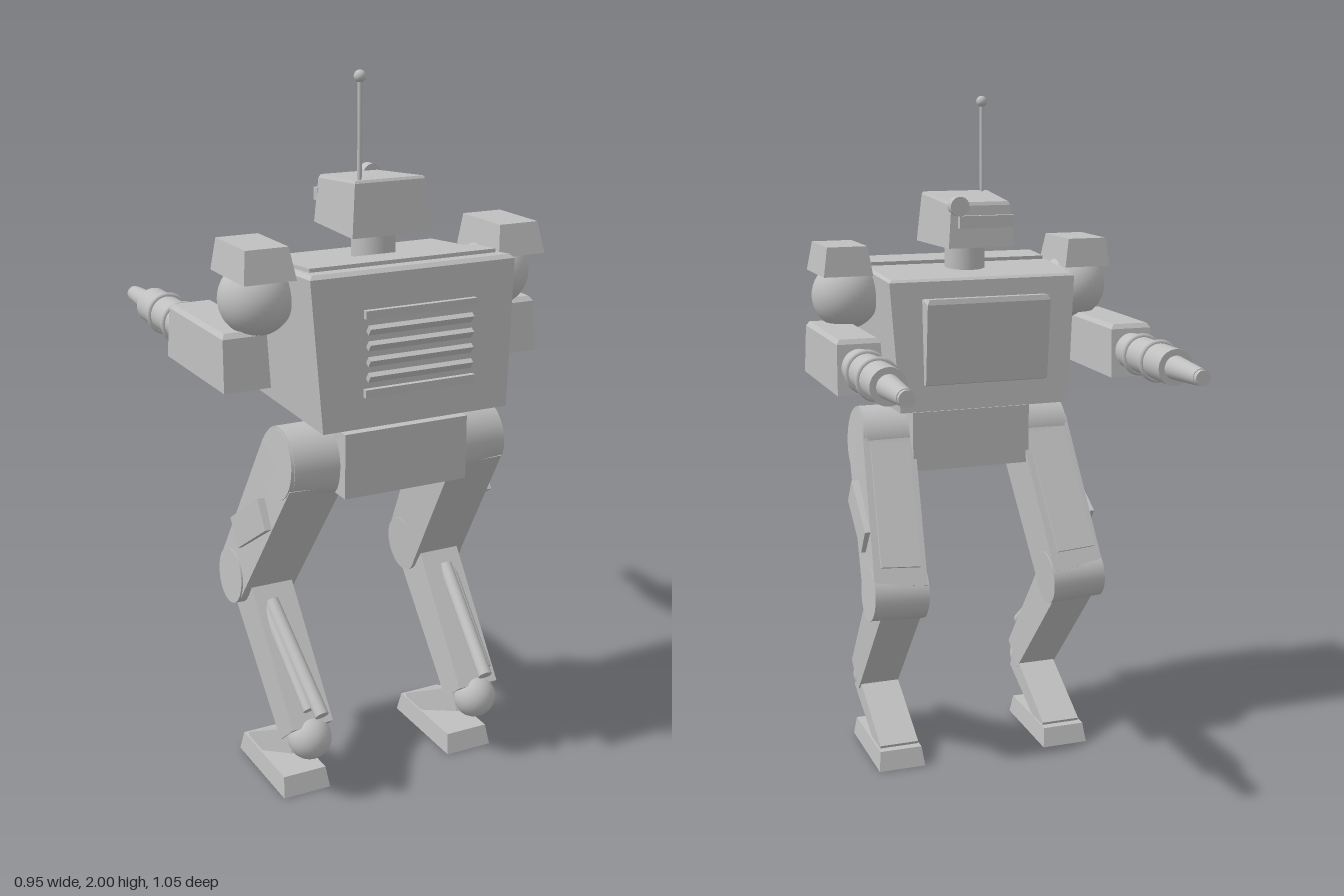
import * as THREE from 'three';
import { ConvexGeometry } from 'three/addons/geometries/ConvexGeometry.js';

export function createModel() {
  const model = new THREE.Group();
  model.name = 'walkerRobot';
  const grey = new THREE.MeshStandardMaterial({ color: 0xbfbfbf });
  grey.name = 'plain grey';

  const add = (name, geometry, x = 0, y = 0, z = 0) => {
    const mesh = new THREE.Mesh(geometry, grey);
    mesh.name = name;
    mesh.position.set(x, y, z);
    model.add(mesh);
    return mesh;
  };
  // Faceted solid from [halfWidth, y, z] corners mirrored about x = cx
  const solid = (name, cx, corners) => add(name, new ConvexGeometry(
    corners.flatMap(([w, y, z]) => [new THREE.Vector3(-w, y, z), new THREE.Vector3(w, y, z)])), cx);
  const box = (name, w, h, d, x, y, z) => add(name, new THREE.BoxGeometry(w, h, d), x, y, z);
  const ball = (name, r, x, y, z) => add(name, new THREE.SphereGeometry(r, 32, 20), x, y, z);
  // Cylinder lying along x
  const axle = (name, r, length, x, y, z) => {
    const mesh = add(name, new THREE.CylinderGeometry(r, r, length, 32), x, y, z);
    mesh.rotation.z = Math.PI / 2;
    return mesh;
  };
  // Round part pointing along -z, from z0 (radius r0) to z1 (radius r1)
  const barrel = (name, r0, r1, x, y, z0, z1) => {
    const mesh = add(name, new THREE.CylinderGeometry(r1, r0, z0 - z1, 32), x, y, (z0 + z1) / 2);
    mesh.rotation.x = -Math.PI / 2;
  };
  // Tapered bar between two points; depth is measured across the bar in the y-z plane
  const limb = (name, a, b, width, depthA, depthB, offset = 0) => {
    const from = new THREE.Vector3(...a), to = new THREE.Vector3(...b);
    const up = to.clone().sub(from), length = up.length();
    up.normalize();
    const side = new THREE.Vector3(1, 0, 0).addScaledVector(up, -up.x).normalize();
    const across = side.clone().cross(up);
    const geometry = new THREE.BoxGeometry(width, length, 1);
    const p = geometry.attributes.position;
    for (let i = 0; i < p.count; i++) p.setZ(i, p.getZ(i) * (p.getY(i) < 0 ? depthA : depthB) + offset);
    geometry.computeVertexNormals();
    const mesh = add(name, geometry);
    mesh.quaternion.setFromRotationMatrix(new THREE.Matrix4().makeBasis(side, up, across));
    mesh.position.copy(from).add(to).multiplyScalar(0.5);
  };
  const rod = (name, r, a, b) => {
    const from = new THREE.Vector3(...a), to = new THREE.Vector3(...b);
    const up = to.clone().sub(from);
    const mesh = add(name, new THREE.CylinderGeometry(r, r, up.length(), 20));
    mesh.quaternion.setFromUnitVectors(new THREE.Vector3(0, 1, 0), up.normalize());
    mesh.position.copy(from).add(to).multiplyScalar(0.5);
  };

  // Torso, hips and torso panels
  solid('torso', 0, [
    [0.29, 1.52, 0.465], [0.3, 1.51, 0.476], [0.275, 1.11, 0.497],
    [0.26, 1.11, 0.055], [0.283, 1.485, 0.073], [0.275, 1.492, 0.082],
  ]);
  const hatch = box('topHatch', 0.55, 0.02, 0.11, 0, 1.513, 0.365);
  hatch.rotation.x = -0.07;
  solid('chestPlate', 0, [
    [0.187, 1.435, 0.08], [0.18, 1.44, 0.02], [0.187, 1.425, 0.016],
    [0.187, 1.19, 0.04], [0.187, 1.18, 0.075],
  ]);
  box('pelvis', 0.37, 0.18, 0.26, 0, 0.99, 0.315);

  // Vent slats
  for (let i = 0; i < 6; i++) {
    const slat = box('ventSlat', i === 0 || i === 5 ? 0.325 : 0.305, 0.022, 0.015, 0, 1.415 - i * 0.0415, 0.509);
    slat.rotation.x = i === 0 || i === 5 ? 0 : 0.6;
  }

  // Head with neck, antenna, visor and lens
  add('neck', new THREE.CylinderGeometry(0.06, 0.06, 0.1, 32), 0, 1.54, 0.245);
  solid('head', 0, [
    [0.117, 1.575, 0.35], [0.1, 1.722, 0.332], [0.104, 1.715, 0.337],
    [0.1, 1.575, 0.088], [0.085, 1.705, 0.1], [0.09, 1.695, 0.095],
  ]);
  add('antenna', new THREE.CylinderGeometry(0.006, 0.006, 0.28, 12), -0.077, 1.85, 0.31);
  ball('antennaTip', 0.016, -0.077, 1.984, 0.31);
  box('visor', 0.165, 0.035, 0.025, -0.012, 1.65, 0.088);
  barrel('lens', 0.028, 0.028, 0.07, 1.695, 0.105, 0.073);

  for (const s of [-1, 1]) {
    // Shoulder
    ball('shoulder', 0.1, s * 0.36, 1.43, 0.275);
    solid('shoulderPad', s * 0.373, [
      [0.073, 1.495, 0.4], [0.073, 1.495, 0.182], [0.06, 1.58, 0.38], [0.06, 1.58, 0.19],
    ]);
    // Forearm and gun
    const gx = s * 0.41;
    solid('forearm', gx, [
      [0.066, 1.2, 0.33], [0.066, 1.2, -0.075], [0.062, 1.34, 0.317],
      [0.062, 1.34, -0.06], [0.053, 1.353, 0.305], [0.053, 1.353, -0.05],
    ]);
    barrel('gunSleeve', 0.052, 0.052, gx, 1.275, -0.05, -0.358);
    for (const z of [-0.135, -0.248]) add('gunRing', new THREE.TorusGeometry(0.054, 0.008, 10, 32), gx, 1.275, z);
    barrel('gunBarrel', 0.034, 0.024, gx, 1.275, -0.355, -0.51);
    barrel('gunMuzzle', 0.022, 0.022, gx, 1.275, -0.505, -0.525);

    // Upper leg
    const hip = [s * 0.248, 0.975, 0.317], knee = [s * 0.28, 0.565, 0.07];
    axle('hipJoint', 0.1, 0.135, s * 0.25, 0.983, 0.317);
    axle('thighTop', 0.098, 0.16, ...hip).rotation.z += s * 0.07;
    limb('thigh', hip, knee, 0.16, 0.195, 0.16);
    limb('thighPlate', [s * 0.25, 0.94, 0.295], [s * 0.277, 0.61, 0.098], 0.12, 0.01, 0.01, 0.095);
    limb('thighPod', [s * 0.318, 0.83, 0.285], [s * 0.325, 0.715, 0.11], 0.08, 0.09, 0.09);
    axle('kneeJoint', 0.08, 0.165, ...knee).rotation.z += s * 0.05;

    // Lower leg and piston
    limb('shin', [s * 0.275, 0.565, 0.07], [s * 0.268, 0.2, 0.375], 0.125, 0.145, 0.105);
    rod('pistonSleeve', 0.02, [s * 0.285, 0.52, 0.185], [s * 0.262, 0.285, 0.46]);
    rod('pistonRod', 0.016, [s * 0.305, 0.54, 0.15], [s * 0.285, 0.29, 0.425]);

    // Ankle and foot
    ball('ankle', 0.062, s * 0.268, 0.188, 0.393);
    limb('footArm', [s * 0.266, 0.185, 0.385], [s * 0.266, 0.045, 0.11], 0.12, 0.07, 0.05);
    solid('foot', s * 0.267, [
      [0.072, 0, 0.375], [0.072, 0, 0.063], [0.065, 0.058, 0.36], [0.065, 0.058, 0.078],
    ]);
  }
  return model;
}
